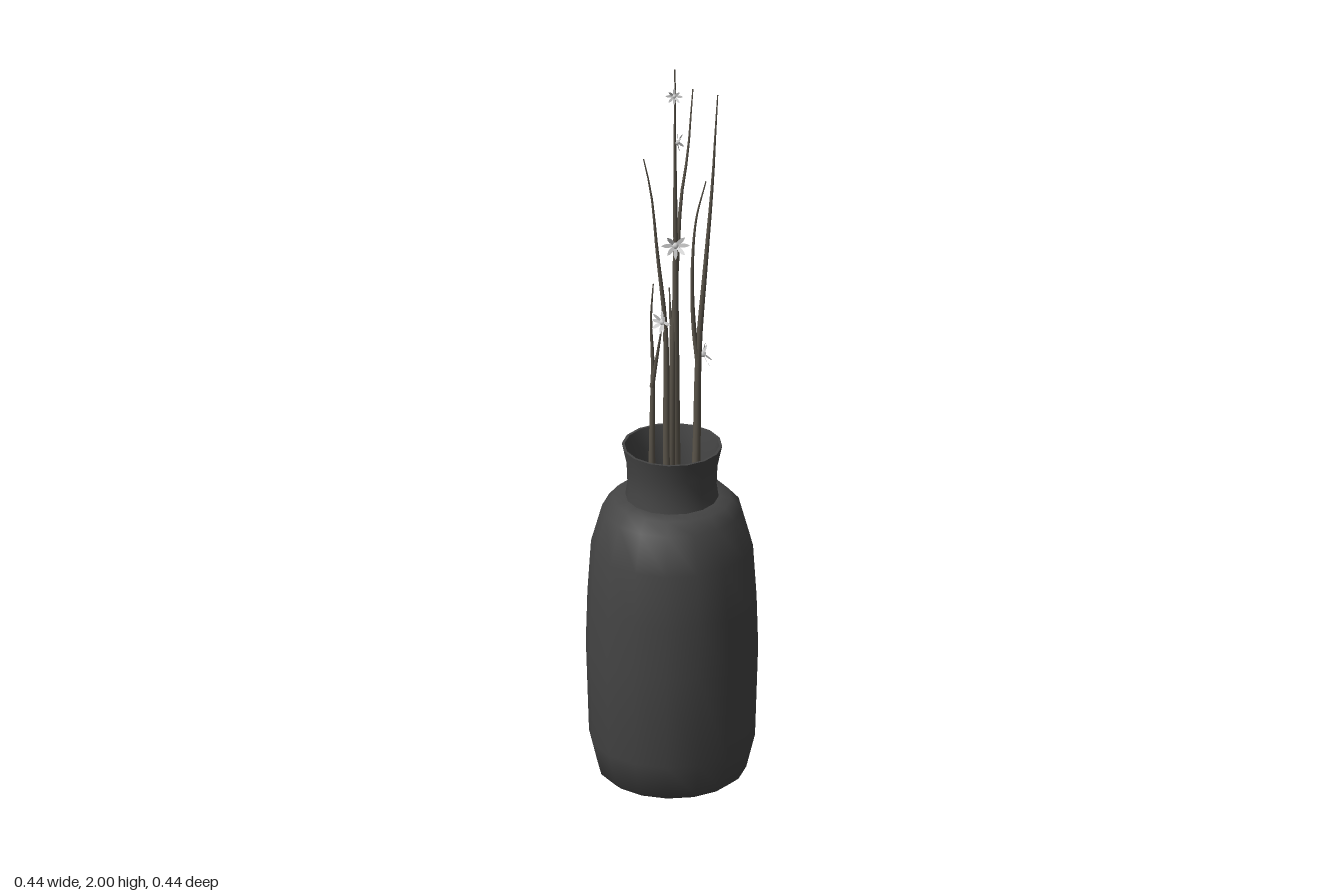
import * as THREE from 'three';
import { mergeGeometries, toCreasedNormals } from 'three/addons/utils/BufferGeometryUtils.js';

const vaseMat = new THREE.MeshStandardMaterial({ color: 0x444444, side: THREE.DoubleSide });
const stemMat = new THREE.MeshStandardMaterial({ color: 0x5a544a, side: THREE.DoubleSide });
const flowerMat = new THREE.MeshStandardMaterial({ color: 0xcccccc, side: THREE.DoubleSide });

// Sixteen-sided vase wall: outside from the drain hole up, over the rim, and back down inside
function vase() {
  const profile = [
    [0.03, 0.01], [0.17, 0.005], [0.188, 0.02], [0.21, 0.11], [0.218, 0.36], [0.214, 0.5],
    [0.205, 0.64], [0.177, 0.74], [0.15, 0.77], [0.118, 0.775], [0.113, 0.81], [0.115, 0.86],
    [0.127, 0.915], [0.12, 0.915], [0.108, 0.86], [0.105, 0.78], [0.14, 0.76], [0.168, 0.73],
    [0.196, 0.63], [0.208, 0.36], [0.2, 0.11], [0.175, 0.03], [0.03, 0.03], [0.03, 0.01],
  ].map(([r, y]) => new THREE.Vector2(r, y));
  const mesh = new THREE.Mesh(toCreasedNormals(new THREE.LatheGeometry(profile, 16), 0.75), vaseMat);
  mesh.name = 'vase';
  return mesh;
}

// Tube along a curve that narrows from radius r0 to a fine tip
function stem(name, points, r0, r1 = 0.0015) {
  const curve = new THREE.CatmullRomCurve3(points.map(p => new THREE.Vector3(...p)));
  const segments = 28, sides = 8;
  const geo = new THREE.TubeGeometry(curve, segments, 1, sides);
  const pos = geo.attributes.position, v = new THREE.Vector3();
  for (let i = 0; i < pos.count; i++) {
    const t = Math.floor(i / (sides + 1)) / segments;
    const centre = curve.getPointAt(t);
    v.fromBufferAttribute(pos, i).sub(centre).multiplyScalar(r0 + (r1 - r0) * t).add(centre);
    pos.setXYZ(i, v.x, v.y, v.z);
  }
  const mesh = new THREE.Mesh(geo, stemMat);
  mesh.name = name;
  return mesh;
}

// Small star blossom: eight pointed petals cupped around a round centre
function blossom(position, facing, size) {
  const petal = new THREE.Shape();
  petal.moveTo(0, 0);
  petal.quadraticCurveTo(0.3, 0.55, 0, 1);
  petal.quadraticCurveTo(-0.3, 0.55, 0, 0);
  const parts = [];
  for (let i = 0; i < 8; i++) {
    parts.push(new THREE.ShapeGeometry(petal, 4)
      .rotateX(i % 2 ? 0.5 : 0.15).rotateZ(i * Math.PI / 4));
  }
  parts.push(new THREE.SphereGeometry(0.24, 8, 6));
  const mesh = new THREE.Mesh(mergeGeometries(parts), flowerMat);
  mesh.name = 'blossom';
  mesh.scale.setScalar(size);
  mesh.position.set(...position);
  mesh.quaternion.setFromUnitVectors(new THREE.Vector3(0, 0, 1), new THREE.Vector3(...facing).normalize());
  return mesh;
}

export function createModel() {
  const model = new THREE.Group();
  model.name = 'vaseWithBranches';
  model.add(vase());

  // Main branches, standing on the vase floor
  const branches = new THREE.Group();
  branches.name = 'branches';
  branches.add(
    stem('tallBranch', [[0.01, 0.03, -0.04], [0.01, 0.5, -0.01], [0.01, 0.91, 0.01], [0.01, 1.3, 0.015],
      [0.01, 1.6, 0.025], [0.01, 1.8, 0.04], [0.012, 1.92, 0.055], [0.012, 2, 0.072]], 0.02),
    stem('leftLeaningBranch', [[0.01, 0.03, 0.0], [-0.005, 0.5, 0.01], [-0.012, 0.91, 0.025],
      [-0.015, 1.25, 0.025], [-0.035, 1.47, 0.035], [-0.05, 1.64, 0.045], [-0.068, 1.74, 0.057]], 0.018),
    stem('outerBranch', [[0.04, 0.03, 0.01], [0.05, 0.5, -0.01], [0.06, 0.91, -0.035], [0.065, 1.17, -0.038],
      [0.082, 1.4, -0.035], [0.1, 1.64, -0.04], [0.107, 1.77, -0.035], [0.113, 1.88, -0.037]], 0.018),
    stem('wavyBranch', [[-0.02, 0.03, -0.02], [-0.005, 0.5, 0], [0, 0.91, 0.02], [0.005, 1.25, 0.015],
      [0.015, 1.47, 0], [0.022, 1.6, -0.015], [0.038, 1.72, -0.03], [0.043, 1.8, -0.05], [0.048, 1.88, -0.067]], 0.018),
    stem('shortBranch', [[-0.05, 0.03, -0.04], [-0.05, 0.5, -0.015], [-0.05, 0.91, 0.01],
      [-0.048, 1.15, 0.01], [-0.052, 1.27, 0.02], [-0.045, 1.38, 0.035]], 0.02),
  );

  // Side twigs
  branches.add(
    stem('outerTwig', [[0.064, 1.12, -0.037], [0.052, 1.24, -0.035], [0.05, 1.4, -0.02],
      [0.06, 1.54, -0.015], [0.085, 1.65, -0.01]], 0.007),
    stem('shortTwig', [[-0.05, 1.08, 0.01], [-0.035, 1.18, 0.02], [-0.022, 1.27, 0.038]], 0.006),
    stem('backTwig', [[0.0, 1.1, 0.0], [-0.005, 1.18, -0.035], [-0.008, 1.25, -0.055], [-0.012, 1.32, -0.072]], 0.006),
  );
  model.add(branches);

  // Blossoms
  const blossoms = new THREE.Group();
  blossoms.name = 'blossoms';
  blossoms.add(
    blossom([0.01, 1.92, 0.06], [0, 0.1, 1], 0.023),
    blossom([0.016, 1.78, 0.037], [1, 0.1, 0.1], 0.027),
    blossom([0.01, 1.485, 0.025], [0.2, 0.3, 1], 0.037),
    blossom([-0.022, 1.275, 0.037], [-0.6, 0.2, 0.8], 0.032),
    blossom([0.075, 1.15, -0.045], [1, 0.3, -0.3], 0.035),
  );
  model.add(blossoms);
  return model;
}
